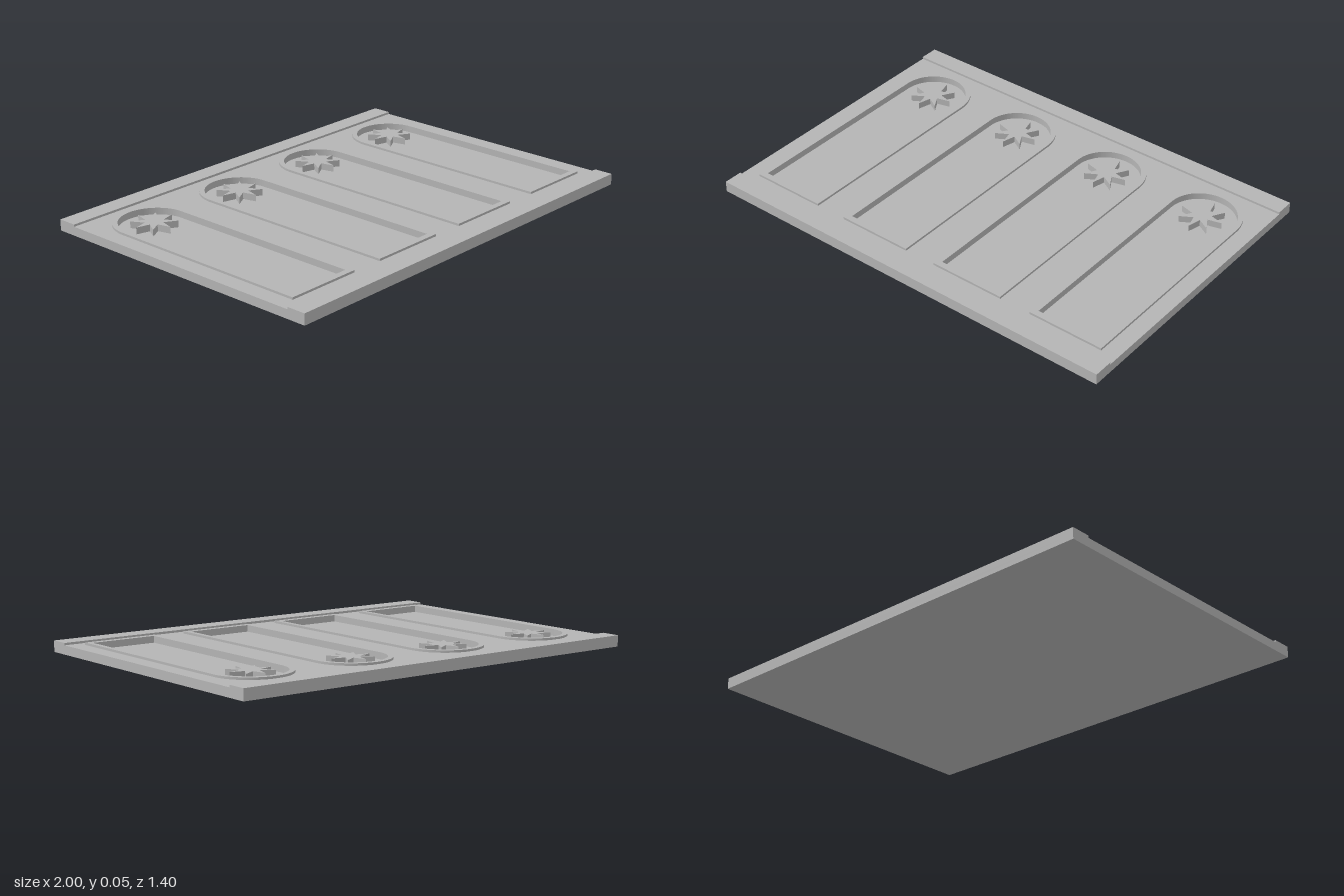
import * as THREE from 'three';

const FLOOR = 0.02, SLAB = 0.04, TOP = 0.05; // heights of recess floor, slab face, raised trim
const HALF_DEPTH = 0.7, ARCH_Z = -0.395;
const PANEL_XS = [-0.75, -0.25, 0.25, 0.75];

// Traces a round-headed arch; plan coordinates use y = -z
function traceArch(path, cx, halfWidth, frontZ) {
  path.moveTo(cx - halfWidth, -frontZ);
  path.lineTo(cx + halfWidth, -frontZ);
  path.lineTo(cx + halfWidth, -ARCH_Z);
  path.absarc(cx, -ARCH_Z, halfWidth, 0, Math.PI, false);
  path.closePath();
  return path;
}
const opening = (cx) => traceArch(new THREE.Path(), cx, 0.152, 0.54);

// Extrudes a plan shape upward between two heights
function raise(shape, y0, y1) {
  const geo = new THREE.ExtrudeGeometry(shape, { depth: y1 - y0, bevelEnabled: false, curveSegments: 32 });
  return geo.rotateX(-Math.PI / 2).translate(0, y0, 0);
}

function starShape(cx) {
  const pts = [];
  for (let i = 0; i < 16; i++) {
    const r = i % 2 ? 0.042 : 0.1;
    const a = (i * Math.PI) / 8;
    pts.push(new THREE.Vector2(cx + r * Math.cos(a), -ARCH_Z + r * Math.sin(a)));
  }
  return new THREE.Shape(pts);
}

export function createModel() {
  const group = new THREE.Group();
  const stone = new THREE.MeshStandardMaterial({ color: 0xb4b4b4 });
  stone.name = 'grey stone';
  const add = (name, geo) => {
    const mesh = new THREE.Mesh(geo, stone);
    mesh.name = name;
    group.add(mesh);
  };

  // Bottom of the slab, which is also the floor of the recesses
  add('baseSlab', new THREE.BoxGeometry(2, FLOOR, HALF_DEPTH * 2).translate(0, FLOOR / 2, 0));

  // Upper layer pierced by the four arches
  const face = new THREE.Shape([
    new THREE.Vector2(-1, -HALF_DEPTH), new THREE.Vector2(1, -HALF_DEPTH),
    new THREE.Vector2(1, HALF_DEPTH), new THREE.Vector2(-1, HALF_DEPTH),
  ]);
  PANEL_XS.forEach((x) => face.holes.push(opening(x)));
  add('facePlate', raise(face, FLOOR, SLAB));

  // Raised rails along the front and back edges
  for (const [name, side] of [['frontRail', 1], ['backRail', -1]]) {
    add(name, new THREE.BoxGeometry(2, TOP - SLAB, 0.088).translate(0, (TOP + SLAB) / 2, side * 0.656));
  }

  // Raised trim around each arch and the star inside its head
  PANEL_XS.forEach((x, i) => {
    const trim = traceArch(new THREE.Shape(), x, 0.175, 0.568);
    trim.holes.push(opening(x));
    add(`archTrim${i + 1}`, raise(trim, SLAB, TOP));
    add(`star${i + 1}`, raise(starShape(x), FLOOR, TOP));
  });

  return group;
}
